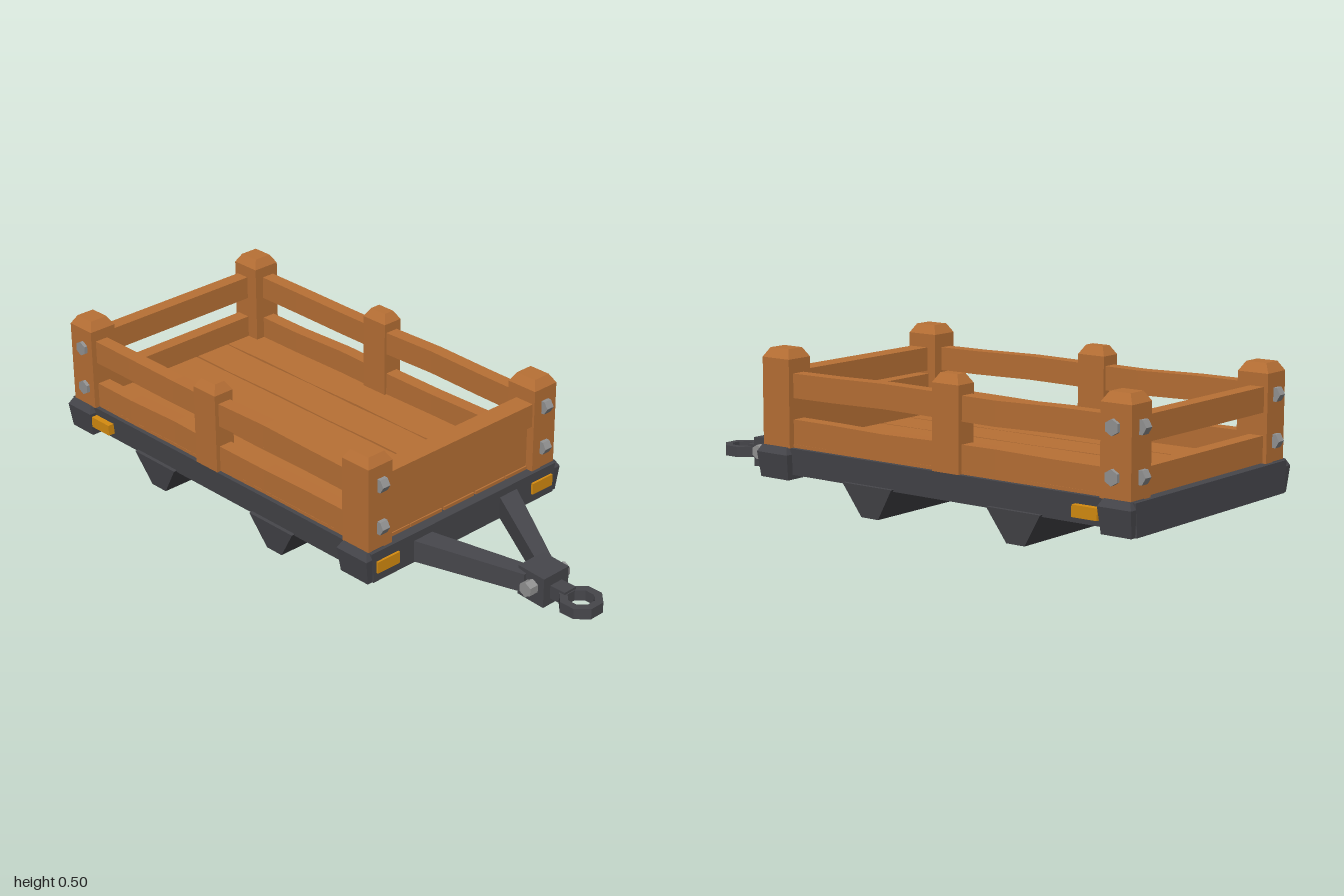
import * as THREE from 'three';

export function createModel() {
  const model = new THREE.Group();
  model.name = 'flatTrailer';
  const material = (name, color) => {
    const m = new THREE.MeshStandardMaterial({ color });
    m.name = name;
    return m;
  };
  const wood = material('wood', 0xb87035);
  const metal = material('darkMetal', 0x46464b);
  const steel = material('boltSteel', 0x939393);
  const amber = material('amber', 0xd58c10);

  const add = (name, geometry, mat) => {
    const mesh = new THREE.Mesh(geometry, mat);
    mesh.name = name;
    model.add(mesh);
    return mesh;
  };

  // Box given by its ranges; warp(v, u) may move each vertex, u is its 0..1 place in the box
  function block(name, mat, [x0, x1], [y0, y1], [z0, z1], warp, segments = 1) {
    const g = new THREE.BoxGeometry(1, 1, 1, segments, 1, 1).toNonIndexed();
    const p = g.attributes.position, v = new THREE.Vector3(), u = new THREE.Vector3();
    for (let i = 0; i < p.count; i++) {
      u.fromBufferAttribute(p, i).addScalar(0.5);
      v.set(x0 + u.x * (x1 - x0), y0 + u.y * (y1 - y0), z0 + u.z * (z1 - z0));
      if (warp) warp(v, u);
      p.setXYZ(i, v.x, v.y, v.z);
    }
    g.computeVertexNormals();
    return add(name, g, mat);
  }

  // Block whose top or bottom is drawn in by dx and dz
  const taper = (name, mat, xs, ys, zs, atTop, dx, dz) =>
    block(name, mat, xs, ys, zs, (v, u) => {
      if ((u.y > 0.5) === atTop) {
        v.x += dx * (1 - 2 * u.x);
        v.z += dz * (1 - 2 * u.z);
      }
    });

  function bolt(name, x, y, z, axis, length = 0.03) {
    const mesh = add(name, new THREE.CylinderGeometry(0.025, 0.025, length, 6).toNonIndexed(), steel);
    mesh.geometry.computeVertexNormals();
    if (axis === 'x') mesh.rotation.set(0, Math.PI / 2, Math.PI / 2);
    else mesh.rotation.x = Math.PI / 2;
    mesh.position.set(x, y, z);
  }

  function post(name, xs, zs, top) {
    block(name, wood, xs, [0.185, top - 0.03], zs);
    taper(name + 'Cap', wood, xs, [top - 0.03, top], zs, true, 0.018, 0.018);
  }

  // Chassis with a slightly narrower underside
  taper('chassis', metal, [-0.998, 0.455], [0.098, 0.185], [-0.412, 0.412], false, 0, 0.008);
  block('rearCrossMember', metal, [-0.998, -0.93], [0.082, 0.14], [-0.405, 0.405]);
  block('frontCrossMember', metal, [0.385, 0.455], [0.083, 0.14], [-0.405, 0.405]);
  for (const x of [-0.565, 0.005]) {
    taper('axleBeam', metal, [x - 0.1, x + 0.1], [0, 0.105], [-0.418, 0.418], false, 0.066, 0.014);
  }

  // Swollen corner caps
  for (const s of [-1, 1]) {
    for (const [x0, x1] of [[-0.998, -0.88], [0.325, 0.455]]) {
      const z = s > 0 ? [0.34, 0.435] : [-0.435, -0.34];
      taper('cornerCap', metal, [x0, x1], [0.165, 0.187], z, true, 0.012, 0.012);
      taper('cornerCapLower', metal, [x0, x1], [0.082, 0.165], z, false, 0.006, 0.012);
    }
  }

  // Deck planks with narrow gaps
  const seams = [-0.4, -0.358, -0.215, -0.073, 0.068, 0.213, 0.358, 0.4];
  for (let i = 0; i < seams.length - 1; i++) {
    block('deckPlank', wood, [-0.96, 0.42], [0.17, 0.196],
      [seams[i] + 0.0035, seams[i + 1] - 0.0035],
      (v, u) => { v.z += 0.002 * Math.sin(u.x * 19 + i * 2); }, 6);
  }

  for (const s of [-1, 1]) {
    const span = (a, b) => (s > 0 ? [a, b] : [-b, -a]);

    // Posts and side rails
    post('rearPost', [-0.983, -0.875], span(0.315, 0.415), 0.495);
    post('frontPost', [0.33, 0.443], span(0.315, 0.415), 0.5);
    post('middlePost', [-0.355, -0.253], span(0.338, 0.412), 0.487);
    for (const [y0, y1, name] of [[0.188, 0.274, 'lowerSideRail'], [0.347, 0.426, 'upperSideRail']]) {
      block(name, wood, [-0.92, 0.39], [y0, y1], span(0.348, 0.396),
        (v, u) => {
          v.y += 0.003 * Math.sin(u.x * 11 + y0 * 20);
          v.z += 0.002 * Math.sin(u.x * 15);
        }, 6);
    }

    // Hex bolts on the end faces and on the rear posts' sides
    for (const y of [0.26, 0.405]) {
      bolt('frontEndBolt', 0.443, y, s * 0.363, 'x');
      bolt('rearEndBolt', -0.982, y - 0.008, s * 0.363, 'x');
      bolt('sideBolt', -0.921, y - 0.009, s * 0.412, 'z');
    }

    // Amber reflectors
    block('frontReflector', amber, [0.45, 0.463], [0.114, 0.153], span(0.3, 0.393));
    block('sideReflector', amber, [-0.877, -0.787], [0.12, 0.157], span(0.405, 0.431));

    // Drawbar arm converging on the coupling
    block('drawbarArm', metal, [0.44, 0.76], [0.088, 0.162], [-0.04, 0.04], (v, u) => {
      v.z += s * (0.2 - 0.165 * u.x);
      v.z -= (u.z - 0.5) * 0.02 * u.x;
      v.y -= u.x * (u.y > 0.5 ? 0.06 : 0.05);
    });
    bolt('couplingBolt', 0.787, 0.07, s * 0.07, 'z', 0.04);
  }

  // End rails: the front lower board is tall
  block('frontLowerBoard', wood, [0.36, 0.415], [0.187, 0.334], [-0.33, 0.33]);
  block('frontUpperRail', wood, [0.365, 0.435], [0.344, 0.424], [-0.33, 0.33]);
  block('rearLowerRail', wood, [-0.97, -0.92], [0.187, 0.272], [-0.33, 0.33]);
  block('rearUpperRail', wood, [-0.97, -0.92], [0.344, 0.424], [-0.33, 0.33]);

  // Coupling block, neck and towing eye
  block('couplingBlock', metal, [0.728, 0.832], [0.014, 0.115], [-0.056, 0.056],
    (v, u) => { v.y -= 0.006 * (u.x - 0.5); });
  block('eyeNeck', metal, [0.82, 0.89], [0.033, 0.078], [-0.026, 0.026]);
  const octagon = (shape, r) => {
    for (let i = 0; i < 8; i++) {
      const a = (i + 0.5) * Math.PI / 4;
      shape[i ? 'lineTo' : 'moveTo'](r * Math.cos(a), r * Math.sin(a));
    }
    shape.closePath();
    return shape;
  };
  const ring = octagon(new THREE.Shape(), 0.07);
  ring.holes.push(octagon(new THREE.Path(), 0.043));
  const eye = add('towingEye', new THREE.ExtrudeGeometry(ring, { depth: 0.036, bevelEnabled: false }), metal);
  eye.rotation.x = -Math.PI / 2;
  eye.position.set(0.933, 0.034, 0);

  return model;
}
